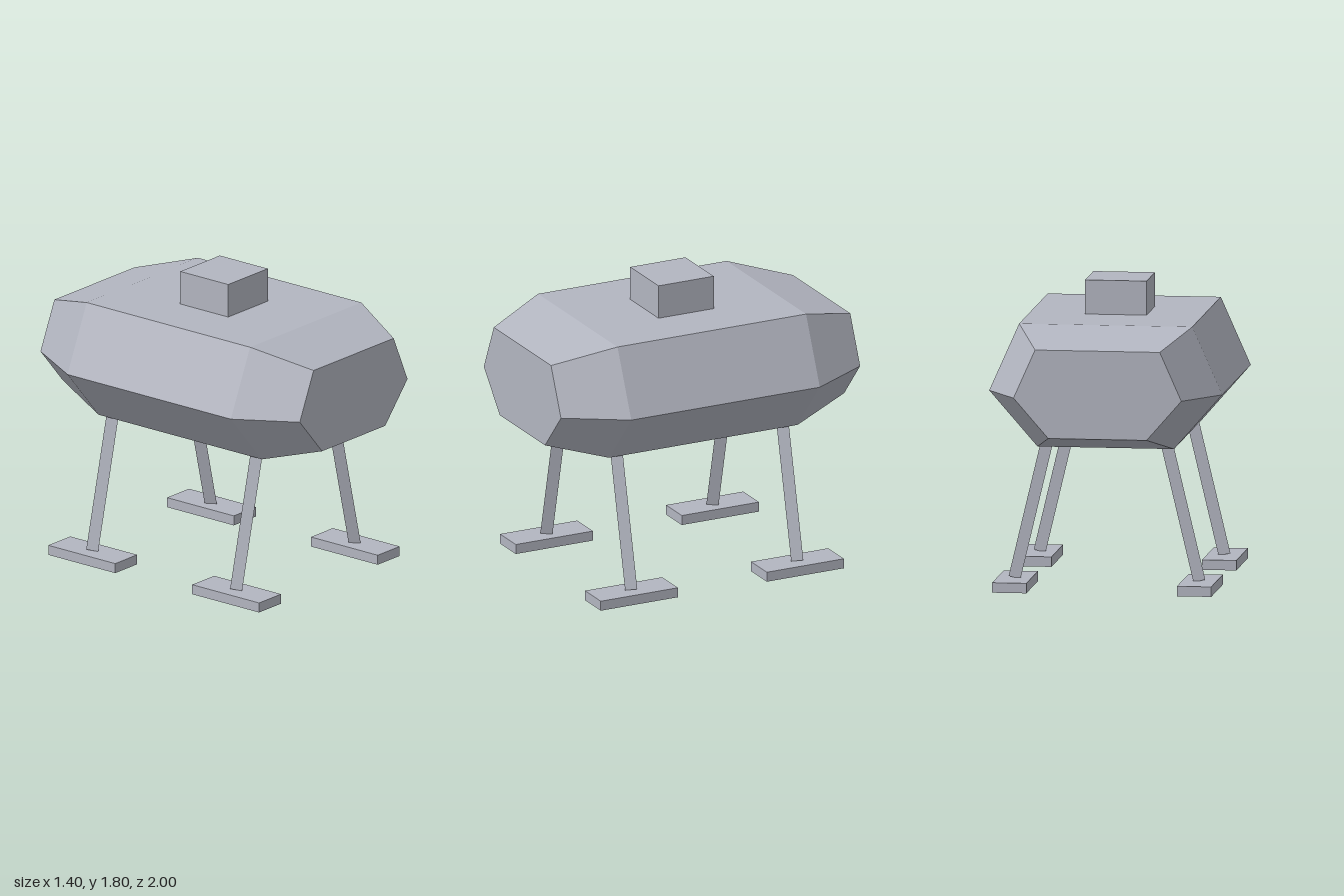
import * as THREE from 'three';

const hullGrey = new THREE.MeshStandardMaterial({ color: 0xb2b5c0, flatShading: true });
hullGrey.name = 'hullGrey';

// Hexagonal hull outline (x, y), counter-clockwise seen from the front
const OUTLINE = [[0.7, 1.19], [0.52, 1.595], [-0.52, 1.595], [-0.7, 1.19], [-0.41, 0.858], [0.41, 0.858]];
const CENTRE_Y = 1.225;
// Stations along the hull: z position and outline scale
const STATIONS = [[1, 0.72], [0.63, 1], [-0.63, 1], [-1, 0.72]];

function hullGeometry() {
  const rings = STATIONS.map(([z, s]) =>
    OUTLINE.map(([x, y]) => [x * s, CENTRE_Y + (y - CENTRE_Y) * s, z]));
  const pos = [];
  const tri = (a, b, c) => pos.push(...a, ...b, ...c);
  const n = OUTLINE.length;
  // side panels between neighbouring rings
  for (let r = 0; r < rings.length - 1; r++) {
    for (let i = 0; i < n; i++) {
      const j = (i + 1) % n;
      const [a, b, c, d] = [rings[r][i], rings[r + 1][i], rings[r + 1][j], rings[r][j]];
      tri(a, b, c);
      tri(a, c, d);
    }
  }
  // flat end caps
  const front = rings[0];
  const back = rings[rings.length - 1];
  for (let i = 1; i < n - 1; i++) {
    tri(front[0], front[i], front[i + 1]);
    tri(back[0], back[i + 1], back[i]);
  }
  const g = new THREE.BufferGeometry();
  g.setAttribute('position', new THREE.Float32BufferAttribute(pos, 3));
  g.computeVertexNormals();
  return g;
}

function addPart(parent, name, geometry, x = 0, y = 0, z = 0) {
  const mesh = new THREE.Mesh(geometry, hullGrey);
  mesh.name = name;
  mesh.position.set(x, y, z);
  parent.add(mesh);
  return mesh;
}

export function createModel() {
  const model = new THREE.Group();
  model.name = 'walker';

  addPart(model, 'hull', hullGeometry());
  addPart(model, 'roofBox', new THREE.BoxGeometry(0.37, 0.22, 0.37), 0, 1.69, 0);

  // Four splayed three-sided struts, each standing on a flat foot
  const UP = new THREE.Vector3(0, 1, 0);
  for (const side of [1, -1]) {
    for (const end of [1, -1]) {
      const name = (end > 0 ? 'front' : 'back') + (side > 0 ? 'Left' : 'Right');
      const z = end * 0.555;
      const bottom = new THREE.Vector3(side * 0.555, 0.06, z);
      const top = new THREE.Vector3(side * 0.348, 0.93, z);
      const axis = top.clone().sub(bottom);
      const mid = bottom.clone().add(top).multiplyScalar(0.5);
      const strut = addPart(model, name + 'Leg',
        new THREE.CylinderGeometry(0.042, 0.042, axis.length(), 3), mid.x, mid.y, mid.z);
      strut.quaternion.setFromUnitVectors(UP, axis.normalize());
      addPart(model, name + 'Foot', new THREE.BoxGeometry(0.206, 0.06, 0.516), side * 0.555, 0.03, z);
    }
  }
  return model;
}
